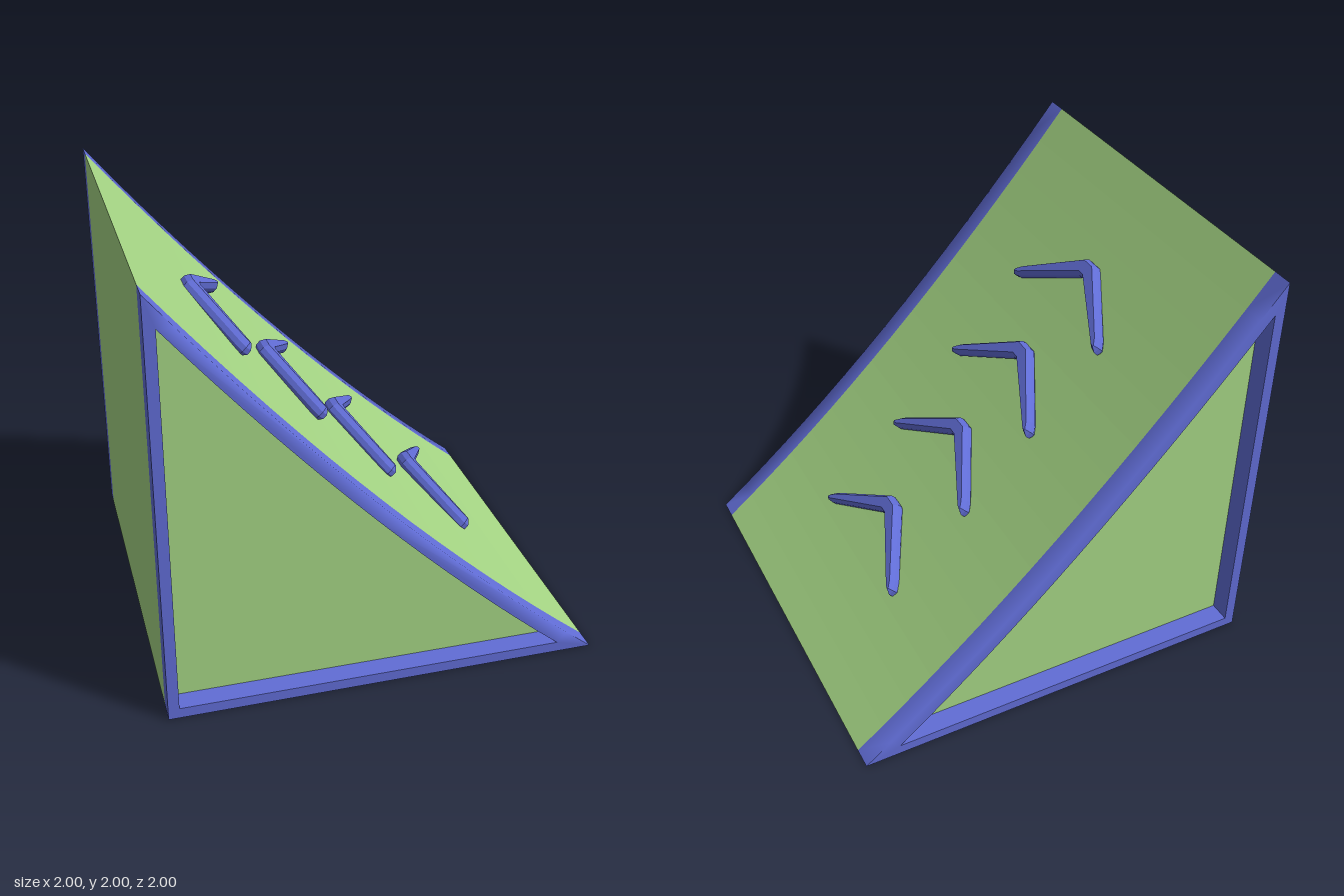
import * as THREE from 'three';

const green = new THREE.MeshStandardMaterial({ color: 0xa5d584 });
green.name = 'leafGreen';
const blue = new THREE.MeshStandardMaterial({ color: 0x616dd6 });
blue.name = 'trimBlue';

// Height of the gently concave slope at x
const slopeY = (x) => 1 - x - 0.11 * (1 - x * x);
const slopeNormal = (x) => new THREE.Vector3(1 - 0.22 * x, 1, 0).normalize();

// Wedge outline: slope from x0 down to x1, closed by a level base and upright back
function wedgePoints(x0, x1, drop, base, steps = 16) {
  const pts = [new THREE.Vector2(x0, base)];
  if (drop === 0) pts.push(new THREE.Vector2(x1, base));
  for (let i = drop === 0 ? 1 : 0; i <= steps; i++) {
    const x = x1 + (x0 - x1) * (i / steps);
    pts.push(new THREE.Vector2(x, Math.max(base, slopeY(x) - drop)));
  }
  return pts;
}

function addMesh(parent, name, geometry, material) {
  const mesh = new THREE.Mesh(geometry, material);
  mesh.name = name;
  parent.add(mesh);
  return mesh;
}

// Side frame with a triangular opening; the outer slope edge is shaded soft
function frameGeometry(side) {
  const shape = new THREE.Shape(wedgePoints(-1, 1, 0, 0));
  shape.holes.push(new THREE.Path(wedgePoints(-0.95, 0.83, 0.087, 0.05)));
  const g = new THREE.ExtrudeGeometry(shape, { depth: 0.1, bevelEnabled: false });
  g.translate(0, 0, side > 0 ? 0.9 : -1);
  const p = g.attributes.position, n = g.attributes.normal;
  for (let i = 0; i < p.count; i++) {
    const x = p.getX(i);
    const onSlope = Math.abs(x) < 0.99 && Math.abs(p.getY(i) - slopeY(x)) < 1e-4;
    if (!onSlope) continue;
    const v = slopeNormal(x);
    if (Math.abs(p.getZ(i)) > 0.99) v.add(new THREE.Vector3(0, 0, side)).normalize();
    else if (Math.abs(n.getZ(i)) > 0.5) continue;
    n.setXYZ(i, v.x, v.y, v.z);
  }
  return g;
}

// Bevelled chevron, apex at the origin, arms running along +x
function chevronGeometry() {
  const half = [[0, 0.04], [0.233, 0.36], [0.27, 0.395], [0.3, 0.39], [0.29, 0.35], [0.085, 0.015]];
  const other = half.map(([u, v]) => [u, -v]).reverse();
  const shape = new THREE.Shape([...half, ...other].map(([u, v]) => new THREE.Vector2(u, v)));
  return new THREE.ExtrudeGeometry(shape, {
    depth: 0.025, bevelEnabled: true, bevelSegments: 1,
    bevelSize: 0.015, bevelThickness: 0.025, bevelOffset: -0.015,
  });
}

export function createModel() {
  const model = new THREE.Group();
  model.name = 'ramp';

  // Solid core between the two frames
  const core = new THREE.ExtrudeGeometry(new THREE.Shape(wedgePoints(-1, 1, 0, 0)), {
    depth: 1.8, bevelEnabled: false,
  });
  core.translate(0, 0, -0.9);
  addMesh(model, 'rampBody', core, green);

  // Frames around the recessed side panels
  addMesh(model, 'frontFrame', frameGeometry(1), blue);
  addMesh(model, 'backFrame', frameGeometry(-1), blue);

  // Raised chevrons pointing up the slope
  const chevron = chevronGeometry();
  const basis = new THREE.Matrix4().makeBasis(
    new THREE.Vector3(1, -1, 0).normalize(),
    new THREE.Vector3(0, 0, -1),
    new THREE.Vector3(1, 1, 0).normalize(),
  );
  [[-0.69, 1.63], [-0.345, 1.265], [-0.008, 0.913], [0.375, 0.555]].forEach(([x, y], i) => {
    const mesh = addMesh(model, `chevron${i + 1}`, chevron, blue);
    mesh.quaternion.setFromRotationMatrix(basis);
    mesh.position.set(x, y, 0);
  });

  return model;
}
